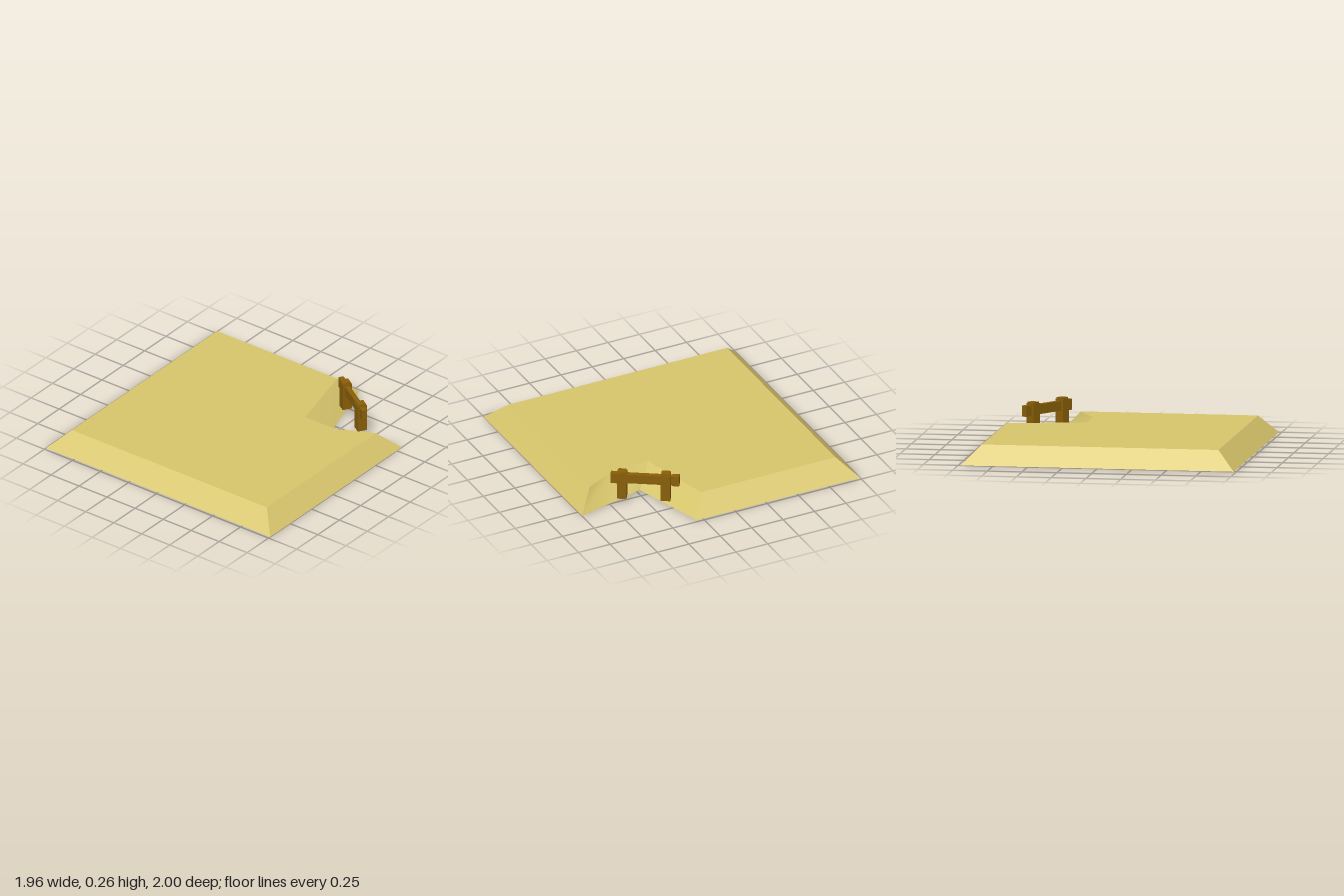
import * as THREE from 'three';
import { toCreasedNormals } from 'three/addons/utils/BufferGeometryUtils.js';

const HEIGHT = 0.135;

// Matching outlines [x, z] of the footprint and the smaller top face
const FOOT = [[-0.98, -1], [0.98, -1], [0.98, 0.3], [0.425, 0.47], [0.459, 0.605], [0.56, 1], [-0.98, 1]];
const TOP = [[-0.85, -0.87], [0.85, -0.87], [0.85, 0.2], [0.295, 0.34], [0.295, 0.605], [0.425, 0.87], [-0.85, 0.87]];

function plateauGeometry() {
  const positions = [];
  const foot = FOOT.map(([x, z]) => [x, 0, z]);
  const top = TOP.map(([x, z]) => [x, HEIGHT, z]);
  const face = (...corners) => corners.forEach((c) => positions.push(...c));

  // Flat top; the shell is open underneath
  const outline = TOP.map(([x, z]) => new THREE.Vector2(x, z));
  for (const [a, b, c] of THREE.ShapeUtils.triangulateShape(outline, [])) face(top[a], top[c], top[b]);

  // Sloping banks, including the notch
  for (let i = 0; i < foot.length; i++) {
    const j = (i + 1) % foot.length;
    face(foot[i], top[i], foot[j]);
    face(foot[j], top[i], top[j]);
  }
  const geometry = new THREE.BufferGeometry();
  geometry.setAttribute('position', new THREE.Float32BufferAttribute(positions, 3));
  return toCreasedNormals(geometry, 0.6);
}

export function createModel() {
  const model = new THREE.Group();
  const sand = new THREE.MeshStandardMaterial({ color: 0xd8c66c, side: THREE.DoubleSide });
  sand.name = 'sand';
  const wood = new THREE.MeshStandardMaterial({ color: 0x895f08 });
  wood.name = 'wood';

  const plateau = new THREE.Mesh(plateauGeometry(), sand);
  plateau.name = 'plateau';
  model.add(plateau);

  // Fence set diagonally across the notch
  const fence = new THREE.Group();
  fence.name = 'fence';
  fence.position.set(0.606, 0, 0.53);
  fence.rotation.y = Math.atan2(0.262, 0.168);
  model.add(fence);

  const addBox = (name, size, x, y) => {
    const mesh = new THREE.Mesh(new THREE.BoxGeometry(...size), wood);
    mesh.name = name;
    mesh.position.set(x, y, 0);
    fence.add(mesh);
  };

  addBox('rail', [0.45, 0.07, 0.036], 0.008, 0.207);
  for (const side of [-1, 1]) {
    addBox('post', [0.068, 0.205, 0.068], side * 0.156, 0.1525);
    addBox('postCap', [0.058, 0.01, 0.058], side * 0.156, 0.26);
    addBox('railEnd', [0.05, 0.078, 0.04], side * 0.22 + 0.008, 0.207);
  }
  return model;
}
